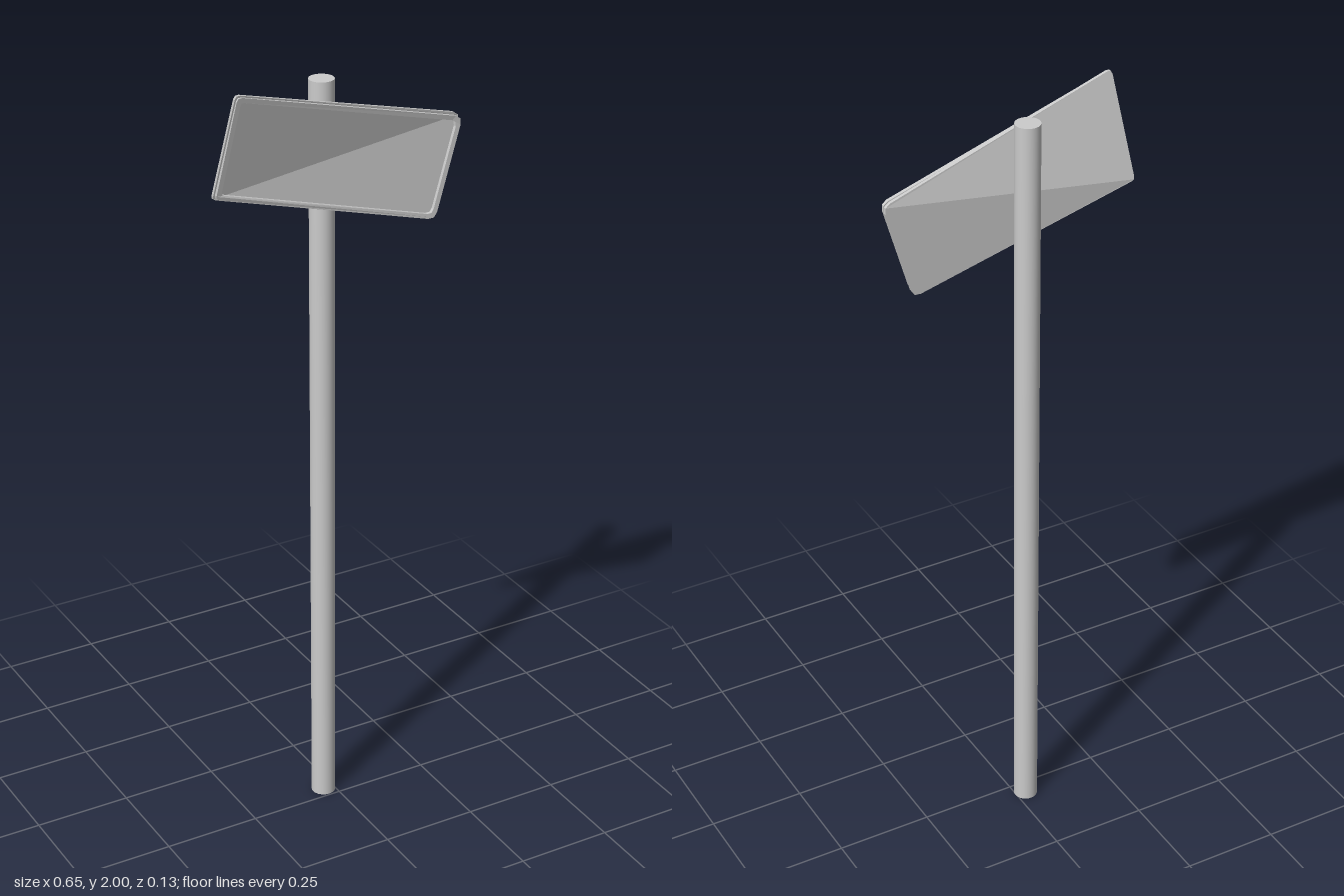
import * as THREE from 'three';

// Sign corners in order: bottom left, bottom right, top right, top left (as seen from the front)
const CORNERS = [[-0.332, 1.735], [0.254, 1.573], [0.329, 1.829], [-0.3, 2.002]]
  .map(([x, y]) => new THREE.Vector2(x, y));

// Corner i moved inward by d along both of its edges
function insetCorners(d) {
  return CORNERS.map((c, i) => {
    const toNext = CORNERS[(i + 1) % 4].clone().sub(c).setLength(d);
    const toPrev = CORNERS[(i + 3) % 4].clone().sub(c).setLength(d);
    return c.clone().add(toNext).add(toPrev);
  });
}

// Outline with three points at each rounded corner
function roundedOutline(corners, radii) {
  return corners.flatMap((c, i) => {
    const a = c.clone().add(corners[(i + 3) % 4].clone().sub(c).setLength(radii[i]));
    const b = c.clone().add(corners[(i + 1) % 4].clone().sub(c).setLength(radii[i]));
    const mid = a.clone().add(b).multiplyScalar(0.25).addScaledVector(c, 0.5);
    return [a, mid, b];
  });
}

// Depth of a quad creased along its bottom-left to top-right diagonal
function foldDepth(x, y, z) {
  const [bl, br, tr, tl] = CORNERS;
  const p = new THREE.Vector2(x, y).sub(bl);
  const diagonal = tr.clone().sub(bl);
  const upper = diagonal.cross(p) > 0;
  const side = (upper ? tl : br).clone().sub(bl);
  const area = diagonal.cross(side);
  const s = p.cross(side) / area;
  const t = diagonal.cross(p) / area;
  return z[0] + s * (z[2] - z[0]) + t * ((upper ? z[3] : z[1]) - z[0]);
}

// Extrude a shape and bend it to the given corner depths
function foldedPlate(shape, thickness, z) {
  const geometry = new THREE.ExtrudeGeometry(shape, { depth: thickness, bevelEnabled: false });
  const pos = geometry.attributes.position;
  for (let i = 0; i < pos.count; i++) {
    pos.setZ(i, pos.getZ(i) + foldDepth(pos.getX(i), pos.getY(i), z));
  }
  geometry.computeVertexNormals();
  return geometry;
}

export function createModel() {
  const model = new THREE.Group();
  const material = new THREE.MeshStandardMaterial({ color: 0xcccccc });
  const add = (name, geometry, parent = model) => {
    const mesh = new THREE.Mesh(geometry, material);
    mesh.name = name;
    parent.add(mesh);
    return mesh;
  };

  // Round post, standing behind the sign
  add('post', new THREE.CylinderGeometry(0.031, 0.031, 1.966, 32))
    .position.set(-0.028, 0.983, -0.035);

  const sign = new THREE.Group();
  sign.name = 'sign';
  model.add(sign);

  // Bent sheet, one plate on either side of the crease
  const sheet = roundedOutline(CORNERS, [0.008, 0.02, 0.02, 0.012]);
  const sheetDepths = [-0.013, 0.0, -0.006, 0.051];
  const lower = sheet.slice(1, 8);
  const upper = [...sheet.slice(7), ...sheet.slice(0, 2)];
  add('lowerSheet', foldedPlate(new THREE.Shape(lower), 0.008, sheetDepths), sign);
  add('upperSheet', foldedPlate(new THREE.Shape(upper), 0.008, sheetDepths), sign);

  // Thin rim in front, lifting off the sheet towards the right-hand end
  const rim = new THREE.Shape(roundedOutline(insetCorners(0.004), [0.008, 0.02, 0.02, 0.012]));
  rim.holes.push(new THREE.Path(roundedOutline(insetCorners(0.016), [0.006, 0.014, 0.014, 0.008])));
  add('rim', foldedPlate(rim, 0.009, [-0.005, 0.014, 0.013, 0.054]), sign);

  return model;
}
